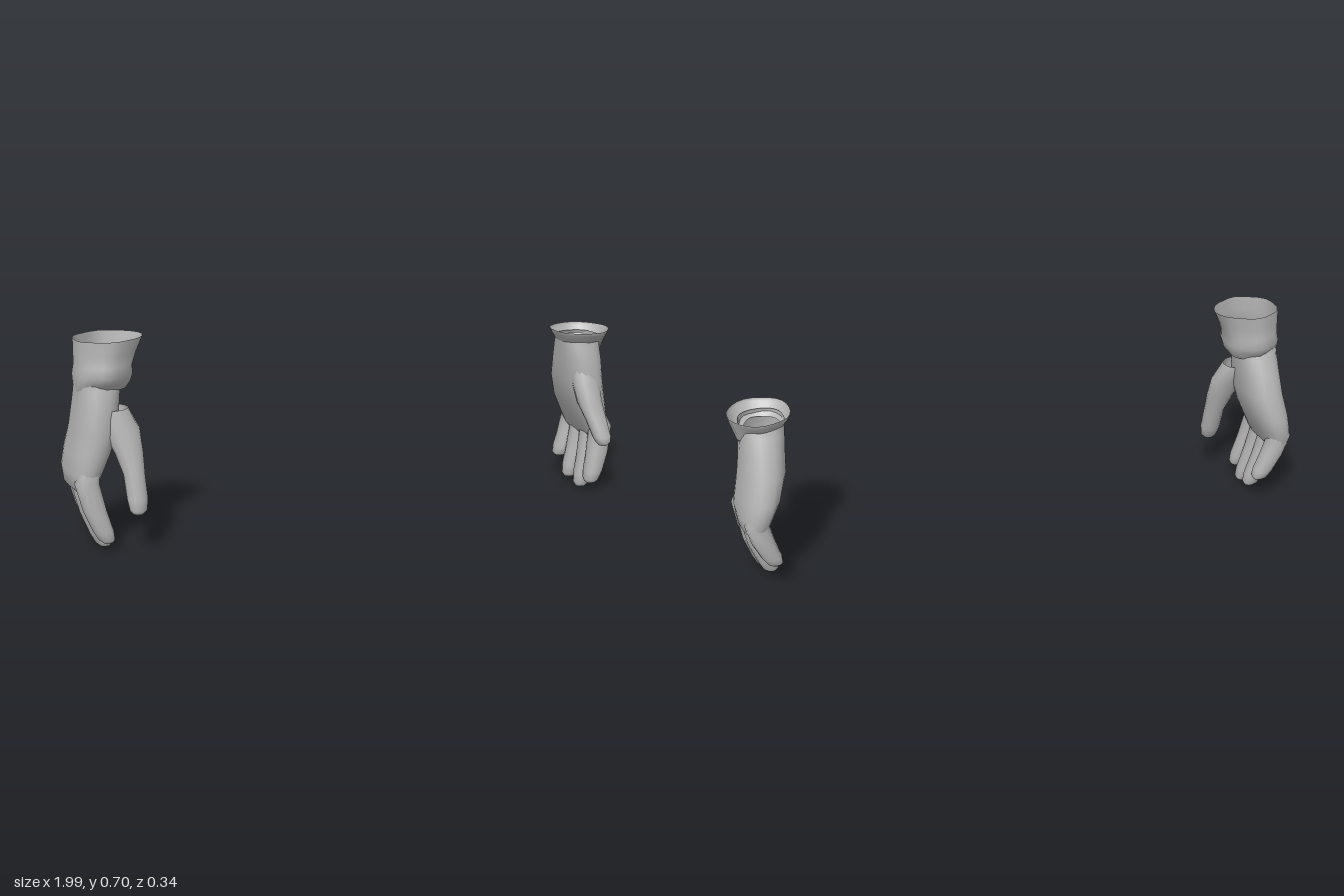
import * as THREE from 'three';

const fabric = new THREE.MeshStandardMaterial({ color: 0xb4b4b4, side: THREE.DoubleSide });
fabric.name = 'grey fabric';

// Skin through horizontal oval rings, listed from top to bottom.
// row = [y, u, ru, z, rz]; u is the distance outwards from the middle, side mirrors it.
function loft(name, side, rows, { n = 12, power = 1, cap = true, warp } = {}) {
  const pos = [], index = [];
  const bend = v => Math.sign(v) * Math.abs(v) ** power;
  rows.forEach(([y, u, ru, z, rz], i) => {
    for (let j = 0; j < n; j++) {
      const a = (j / n) * Math.PI * 2;
      const w = warp ? warp(a, i) : { grow: 1, lift: 0 };
      pos.push(side * (u + ru * w.grow * bend(Math.cos(a))), y + w.lift, z + rz * w.grow * bend(Math.sin(a)));
    }
  });
  const face = (a, b, c) => (side > 0 ? index.push(a, b, c) : index.push(a, c, b));
  for (let i = 0; i < rows.length - 1; i++) {
    for (let j = 0; j < n; j++) {
      const k = (j + 1) % n, a = i * n + j, b = i * n + k, c = a + n, d = b + n;
      face(a, b, c);
      face(b, d, c);
    }
  }
  if (cap) {
    const [y, u, , z] = rows[rows.length - 1];
    const base = (rows.length - 1) * n, mid = pos.length / 3;
    pos.push(side * u, y, z);
    for (let j = 0; j < n; j++) face(base + j, base + (j + 1) % n, mid);
  }
  const g = new THREE.BufferGeometry();
  g.setAttribute('position', new THREE.Float32BufferAttribute(pos, 3));
  g.setIndex(index);
  g.computeVertexNormals();
  const mesh = new THREE.Mesh(g, fabric);
  mesh.name = name;
  return mesh;
}

// Fingers: name, z at knuckle, z at tip, half width, tip height, inward curl
const FINGERS = [
  ['indexFinger', 0.058, 0.086, 0.033, 0.03, 0.0],
  ['middleFinger', -0.003, 0.023, 0.032, 0.0, 0.005],
  ['ringFinger', -0.066, -0.052, 0.032, 0.018, 0.012],
  ['littleFinger', -0.13, -0.124, 0.034, 0.08, 0.015],
];

function addHand(group, side, shift) {
  // Palm, open at the wrist
  group.add(loft('palm', side, [
    [0.56, 0.885, 0.076, -0.004, 0.078],
    [0.53, 0.885, 0.074, -0.007, 0.086],
    [0.48, 0.89, 0.073, -0.013, 0.107],
    [0.40, 0.897, 0.075, -0.023, 0.122],
    [0.32, 0.917, 0.069, -0.036, 0.134],
    [0.26, 0.936, 0.06, -0.037, 0.131],
    [0.21, 0.945, 0.045, -0.037, 0.122],
    [0.185, 0.943, 0.022, -0.037, 0.105],
  ], { n: 24, power: 0.85 }));

  // Four gently curled fingers
  for (const [name, z0, z1, w, tip, curl] of FINGERS) {
    const top = 0.30, at = t => top + (tip - top) * t;
    const row = (t, u, ru, k) => [at(t), u - (curl + shift) * t, ru, z0 + (z1 - z0) * t, w * k];
    group.add(loft(name, side, [
      row(0, 0.925, 0.032, 0.85),
      row(0.25, 0.951, 0.041, 1),
      row(0.6, 0.936, 0.039, 1.02),
      row(0.85, 0.917, 0.034, 0.96),
      row(0.96, 0.909, 0.027, 0.8),
      row(1, 0.906, 0.017, 0.5),
    ], { power: 0.85 }));
  }
}

export function createModel() {
  const root = new THREE.Group();
  root.name = 'gloves';

  // Left glove: thumb close to the palm, short flared cuff
  const left = new THREE.Group();
  left.name = 'leftGlove';
  addHand(left, 1, 0);
  left.add(loft('thumb', 1, [
    [0.47, 0.878, 0.04, 0.045, 0.035],
    [0.40, 0.884, 0.05, 0.067, 0.042],
    [0.33, 0.892, 0.046, 0.088, 0.041],
    [0.27, 0.905, 0.039, 0.117, 0.034],
    [0.215, 0.914, 0.034, 0.143, 0.03],
    [0.195, 0.917, 0.027, 0.15, 0.024],
    [0.185, 0.917, 0.016, 0.151, 0.015],
  ]));
  left.add(loft('cuff', 1, [
    [0.585, 0.89, 0.104, 0.001, 0.107],
    [0.574, 0.89, 0.1, 0.001, 0.105],
    [0.548, 0.886, 0.08, -0.003, 0.082],
    [0.535, 0.886, 0.066, -0.004, 0.07],
  ], {
    n: 24, cap: false,
    // pointed fold hanging on the outer side
    warp: (a, i) => ({
      grow: 1 + 0.02 * Math.cos(5 * a),
      lift: i < 2 ? 0 : -0.05 * Math.max(0, Math.cos(a)) ** 5,
    }),
  }));

  // Right glove: open thumb, long pleated cuff
  const right = new THREE.Group();
  right.name = 'rightGlove';
  addHand(right, -1, 0.018);
  right.add(loft('thumb', -1, [
    [0.47, 0.85, 0.055, 0.04, 0.05],
    [0.40, 0.825, 0.062, 0.063, 0.046],
    [0.33, 0.808, 0.048, 0.085, 0.042],
    [0.26, 0.799, 0.036, 0.108, 0.036],
    [0.18, 0.795, 0.035, 0.126, 0.033],
    [0.145, 0.796, 0.029, 0.137, 0.026],
    [0.132, 0.797, 0.016, 0.139, 0.015],
  ]));
  right.add(loft('cuff', -1, [
    [0.698, 0.85, 0.108, 0, 0.098],
    [0.65, 0.858, 0.1, 0, 0.097],
    [0.612, 0.864, 0.094, 0, 0.098],
    [0.58, 0.867, 0.097, 0.001, 0.108],
    [0.552, 0.868, 0.092, -0.002, 0.086],
    [0.53, 0.87, 0.078, -0.004, 0.072],
  ], {
    n: 24, cap: false,
    // pleats, with a peak on the inner side that grows towards the rim
    warp: (a, i) => ({
      grow: 1 + 0.03 * Math.cos(6 * a + Math.PI) + Math.max(0, 0.15 - 0.06 * i) * Math.max(0, -Math.cos(a)) ** 14,
      lift: i < 4 ? 0 : -0.03 * Math.max(0, Math.cos(a)) ** 5,
    }),
  }));

  root.add(left, right);
  return root;
}
